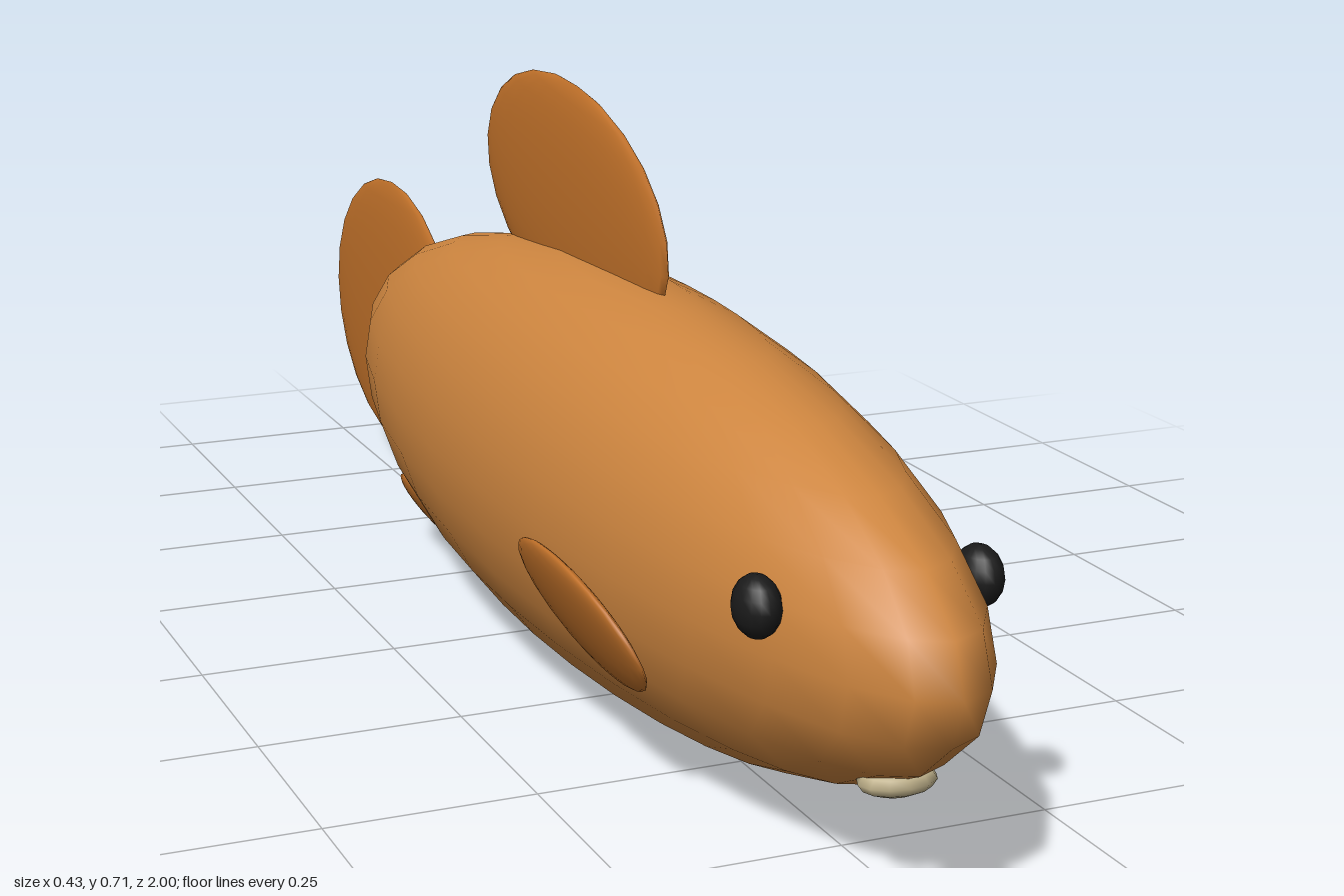
import * as THREE from 'three';

const skin = new THREE.MeshStandardMaterial({ color: 0xcd853f });
const finSkin = new THREE.MeshStandardMaterial({ color: 0xbf7029 });
const black = new THREE.MeshStandardMaterial({ color: 0x1a1a1a });
const lip = new THREE.MeshStandardMaterial({ color: 0xbcae88 });

// Smooth ellipsoid: tilt raises its back end, roll leans its top towards +x
function ellipsoid(name, material, radii, position, { tilt = 0, roll = 0, segments = 24 } = {}) {
  const geometry = new THREE.SphereGeometry(1, segments, Math.round(segments / 2));
  geometry.scale(...radii);
  const mesh = new THREE.Mesh(geometry, material);
  mesh.name = name;
  mesh.position.set(...position);
  mesh.rotation.set(tilt, 0, -roll, 'ZYX');
  return mesh;
}

export function createModel() {
  const fish = new THREE.Group();
  fish.name = 'fish';

  fish.add(
    ellipsoid('body', skin, [0.193, 0.251, 0.84], [0, 0.254, 0.157], { segments: 28 }),
    ellipsoid('dorsalFin', finSkin, [0.02, 0.148, 0.302], [0, 0.561, -0.015], { tilt: 0.125 }),
    ellipsoid('tailFin', finSkin, [0.02, 0.2, 0.27], [0, 0.255, -0.73]),
    ellipsoid('mouth', lip, [0.045, 0.017, 0.03], [0, 0.125, 0.867], { segments: 12 })
  );

  // Paired parts on the left (+x) and right (-x)
  for (const [side, s] of [['left', 1], ['right', -1]]) {
    fish.add(
      ellipsoid(side + 'Eye', black, [0.025, 0.034, 0.034], [s * 0.128, 0.305, 0.797], { segments: 16 }),
      ellipsoid(side + 'PectoralFin', finSkin, [0.014, 0.078, 0.16], [s * 0.178, 0.19, 0.45],
        { tilt: 0.1, roll: s * 0.43 }),
      ellipsoid(side + 'PelvicFin', finSkin, [0.013, 0.045, 0.085], [s * 0.085, 0.077, -0.32],
        { tilt: 0.25, roll: s * 0.6 })
    );
  }
  return fish;
}
